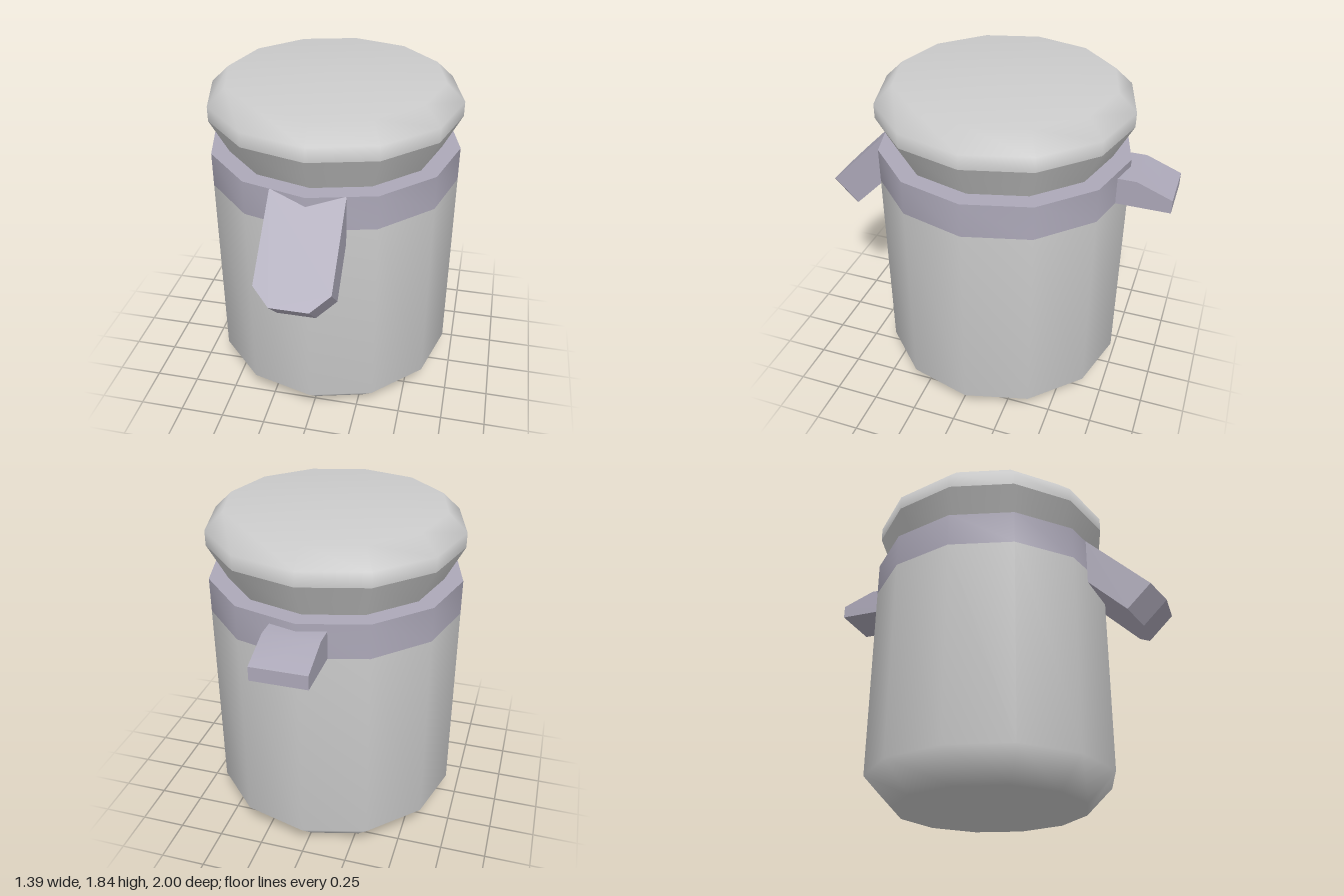
import * as THREE from 'three';
import { toCreasedNormals } from 'three/addons/utils/BufferGeometryUtils.js';

const SIDES = 12;
const CENTRE_Z = -0.055;

export function createModel() {
  const model = new THREE.Group();
  model.name = 'jar';

  const shell = new THREE.MeshStandardMaterial({ name: 'light grey', color: 0xcccccc });
  const trim = new THREE.MeshStandardMaterial({ name: 'mauve grey', color: 0xaca8b8 });

  const add = (name, geometry, material) => {
    const mesh = new THREE.Mesh(geometry, material);
    mesh.name = name;
    model.add(mesh);
    return mesh;
  };
  // Twelve-sided turned part from [radius, height] pairs, bottom to top
  const turned = (points) =>
    new THREE.LatheGeometry(points.map(([r, y]) => new THREE.Vector2(r, y)), SIDES)
      .translate(0, 0, CENTRE_Z);
  // Straight prism from an outline
  const prism = (points, depth) =>
    new THREE.ExtrudeGeometry(
      new THREE.Shape(points.map(([x, y]) => new THREE.Vector2(x, y))),
      { depth, bevelEnabled: false });

  // Body with a chamfered base, and a lid on a flaring neck
  add('body', turned([[0, 0], [0.54, 0], [0.695, 0.16], [0.695, 1.28]]), shell);
  add('neck', turned([[0.595, 1.47], [0.695, 1.66]]), shell);
  add('lid', turned([[0.695, 1.66], [0.695, 1.74], [0.595, 1.835], [0, 1.835]]), shell);

  // Band around the rim: outer wall and flat upper ledge
  add('band', toCreasedNormals(
    turned([[0.695, 1.28], [0.695, 1.47], [0.59, 1.47]]), 0.7), trim);

  // Front clasp: a sloping slab with clipped lower corners
  const clasp = add('clasp', prism([
    [-0.195, 0], [-0.195, -0.485], [-0.1, -0.58],
    [0.1, -0.58], [0.195, -0.485], [0.195, 0],
  ], 0.192), trim);
  clasp.rotation.x = -Math.PI / 4;
  clasp.position.set(0, 1.334, 0.454);

  // Rear hinge tab: tapered side outline, extruded across the width
  const tab = prism([
    [0.66, 1.28], [1, 1.28], [1, 1.355], [0.81, 1.43], [0.66, 1.43],
  ], 0.294).rotateY(Math.PI / 2).translate(-0.147, 0, 0);
  add('hingeTab', toCreasedNormals(tab, 0.6), trim);

  return model;
}
